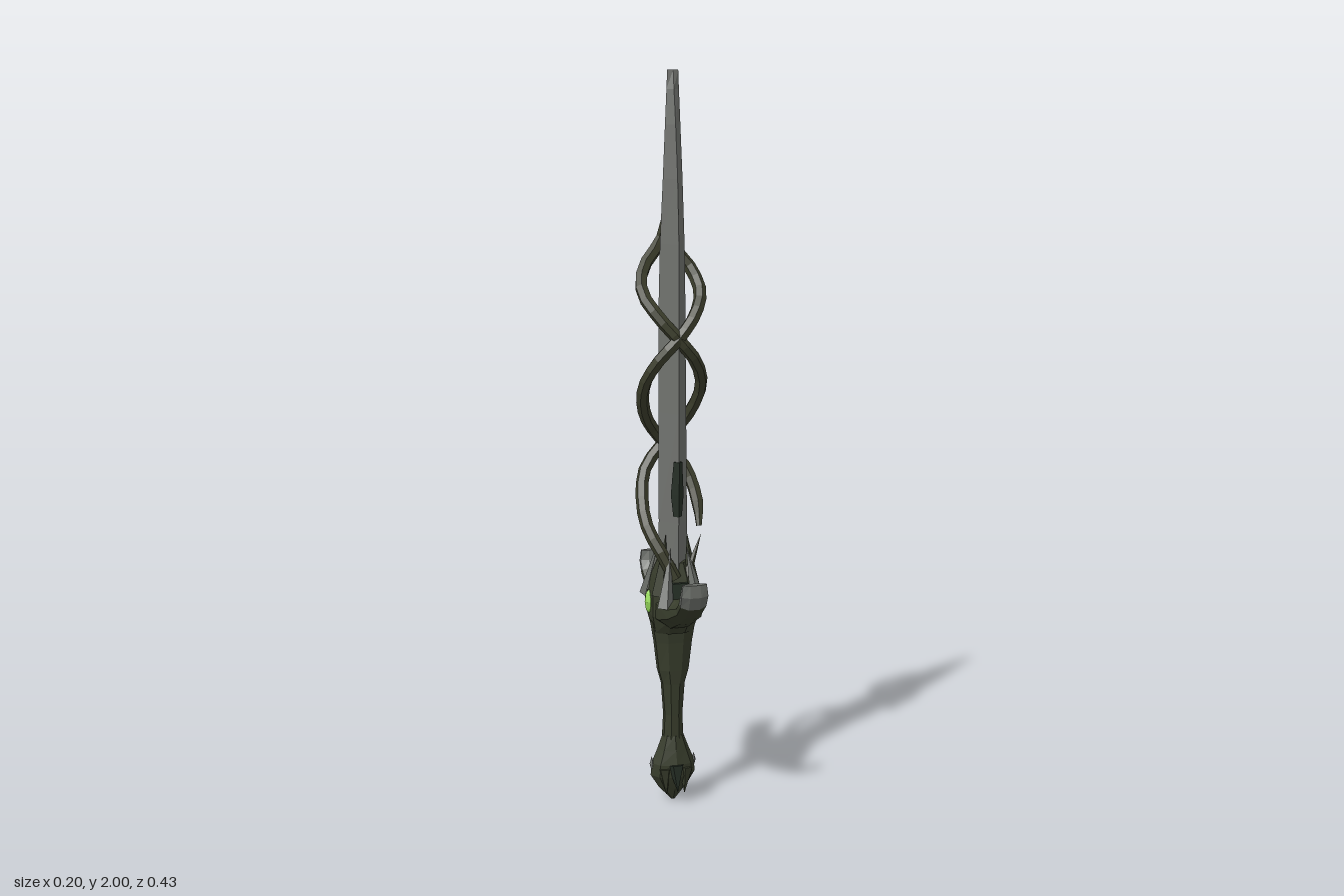
import * as THREE from 'three';

const mat = (name, color, extra = {}) =>
  Object.assign(new THREE.MeshStandardMaterial({ color, flatShading: true, ...extra }), { name });

const steel = mat('blade steel', 0x70726e);
const wood = mat('dark mossy wood', 0x373c2b);
const vineMat = mat('vine bark', 0x3c3e2c);
const shade = mat('deep green', 0x252e25);
const stone = mat('worn grey', 0x686b66);
const glow = mat('green gem', 0x98dc5c);

// Skin a list of equal-length point rings and close both ends
function loft(rings) {
  const n = rings[0].length, pos = [], idx = [];
  rings.forEach(r => r.forEach(p => pos.push(...p)));
  for (let j = 0; j < rings.length - 1; j++) {
    for (let i = 0; i < n; i++) {
      const a = j * n + i, b = j * n + (i + 1) % n;
      idx.push(a, a + n, b, b, a + n, b + n);
    }
  }
  const last = (rings.length - 1) * n;
  for (let i = 1; i < n - 1; i++) {
    idx.push(0, i, i + 1, last, last + i + 1, last + i);
  }
  const g = new THREE.BufferGeometry();
  g.setAttribute('position', new THREE.Float32BufferAttribute(pos, 3));
  g.setIndex(idx);
  g.computeVertexNormals();
  return g;
}

// Horizontal rings from rows of [y, halfX, halfZ, centreZ]
const column = (rows, n, turn = 0) => loft(rows.map(([y, hx, hz, cz = 0]) =>
  Array.from({ length: n }, (_, i) => {
    const a = turn + i / n * Math.PI * 2;
    return [hx * Math.cos(a), y, cz + hz * Math.sin(a)];
  })));

// Guard arm along +z from rows of [z, y, halfHeight, halfWidth], rings square to the path
function armRings(rows) {
  return rows.map(([z, y, h, w], k) => {
    const p = rows[Math.max(k - 1, 0)], q = rows[Math.min(k + 1, rows.length - 1)];
    const len = Math.hypot(q[0] - p[0], q[1] - p[1]);
    const tz = (q[0] - p[0]) / len, ty = (q[1] - p[1]) / len;
    return Array.from({ length: 8 }, (_, i) => {
      const a = (i + 0.5) / 8 * Math.PI * 2;
      const c = Math.cos(a) * h * 1.08, s = Math.sin(a) * w * 1.08;
      return [s, y + tz * c, z - ty * c];
    });
  });
}

export function createModel() {
  const sword = new THREE.Group();
  sword.name = 'vineSword';
  const add = (name, geometry, material, parent = sword) => {
    const m = new THREE.Mesh(geometry, material);
    m.name = name;
    parent.add(m);
    return m;
  };
  // Pointed thorn from base to tip
  const thorn = (name, base, tip, r, material, parent = sword) => {
    const a = new THREE.Vector3(...base), b = new THREE.Vector3(...tip);
    const d = b.clone().sub(a);
    const m = add(name, new THREE.ConeGeometry(r, d.length(), 5), material, parent);
    m.position.copy(a).add(b).multiplyScalar(0.5);
    m.quaternion.setFromUnitVectors(new THREE.Vector3(0, 1, 0), d.normalize());
    return m;
  };

  // Blade: diamond section with a narrow ridge at the tip
  add('blade', column([
    [0.56, 0.042, 0.052], [0.8, 0.04, 0.056, 0.002], [1.1, 0.039, 0.064, -0.004],
    [1.4, 0.037, 0.066, -0.006], [1.55, 0.034, 0.062, -0.004], [1.72, 0.027, 0.046],
    [1.86, 0.021, 0.027], [1.95, 0.017, 0.012], [2, 0.015, 0.004],
  ], 4), steel);
  // Mossy patch on the front cutting edge
  add('edgeMoss', column([
    [0.82, 0.012, 0.013, 0.047], [0.88, 0.018, 0.019, 0.043], [0.97, 0.012, 0.013, 0.05],
  ], 4), shade);

  // Two vines, mirrored, winding round the blade; one ends early
  const path = [
    [0.004, 1.645, -0.062], [0.016, 1.55, -0.074], [0.066, 1.48, -0.056], [0.08, 1.42, -0.012],
    [0.05, 1.36, 0.036], [0, 1.3, 0.055], [-0.052, 1.24, 0.04], [-0.08, 1.17, 0],
    [-0.06, 1.08, -0.056], [0, 1.0, -0.09], [0.058, 0.93, -0.074], [0.078, 0.84, -0.025],
    [0.072, 0.78, 0.01], [0.045, 0.72, 0.045], [0.01, 0.65, 0.06],
  ];
  for (const s of [1, -1]) {
    const pts = path.slice(0, s > 0 ? 13 : 15).map(p => new THREE.Vector3(p[0] * s, p[1], p[2]));
    const curve = new THREE.CatmullRomCurve3(pts, false, 'centripetal');
    const steps = 30, sides = 6;
    const tube = new THREE.TubeGeometry(curve, steps, 0.0175, sides);
    // Taper the upper tip, and the free lower end of the short vine
    const v = new THREE.Vector3(), pos = tube.attributes.position;
    for (let i = 0; i < pos.count; i++) {
      const t = Math.floor(i / (sides + 1)) / steps, c = curve.getPointAt(t);
      const k = Math.min(1, 0.1 + t * 9, s > 0 ? 0.45 + (1 - t) * 8 : 1);
      v.fromBufferAttribute(pos, i).sub(c).multiplyScalar(k).add(c);
      pos.setXYZ(i, v.x, v.y, v.z);
    }
    tube.computeVertexNormals();
    add(s > 0 ? 'shortVine' : 'longVine', tube, vineMat);
  }
  thorn('vineSprout', [0.025, 0.65, 0.045], [0.072, 0.765, 0.03], 0.014, vineMat);

  // Guard: two upswept arms with worn grey horns
  const armRows = [
    [-0.01, 0.56, 0.07, 0.062], [0.06, 0.558, 0.045, 0.058], [0.11, 0.567, 0.03, 0.047],
    [0.155, 0.585, 0.02, 0.035], [0.188, 0.612, 0.018, 0.036], [0.202, 0.64, 0.015, 0.037],
    [0.203, 0.67, 0.01, 0.033],
  ];
  const rings = armRings(armRows);
  for (const s of [1, -1]) {
    const arm = new THREE.Group();
    arm.name = s > 0 ? 'frontGuardArm' : 'backGuardArm';
    arm.rotation.y = s > 0 ? 0 : Math.PI;
    sword.add(arm);
    add('armRoot', loft(rings.slice(0, 5)), wood, arm);
    add('armHorn', loft(rings.slice(4)), stone, arm);
    // Grey fins hugging the collar corners
    for (const x of [1, -1]) {
      thorn('collarFin', [x * 0.047, 0.575, 0.083], [x * 0.022, 0.74, 0.055], 0.024, stone, arm);
    }
  }

  // Collar gripping the base of the blade
  add('collar', column([
    [0.49, 0.058, 0.045], [0.54, 0.07, 0.08], [0.6, 0.07, 0.085],
    [0.65, 0.058, 0.066], [0.69, 0.042, 0.05],
  ], 8, Math.PI / 8), wood);
  add('frontCollarPlate', column([[0.56, 0.035, 0.008, 0.082], [0.64, 0.032, 0.008, 0.07]], 4, Math.PI / 4), shade);
  add('backCollarPlate', column([[0.56, 0.035, 0.008, -0.082], [0.64, 0.032, 0.008, -0.07]], 4, Math.PI / 4), shade);
  for (const x of [1, -1]) {
    thorn('collarThorn', [x * 0.045, 0.6, 0.03], [x * 0.03, 0.77, 0.035], 0.027, wood);
    thorn('collarThorn', [x * 0.045, 0.6, -0.03], [x * 0.028, 0.73, -0.04], 0.025, wood);
    // Gem on each side
    const gem = add('gem', new THREE.OctahedronGeometry(1, 1), glow);
    gem.scale.set(0.012, 0.034, 0.017);
    gem.position.set(x * 0.066, 0.575, -0.006);
  }

  // Handle, swelling under the guard
  add('handle', column([
    [0.13, 0.036, 0.03], [0.19, 0.03, 0.027], [0.25, 0.027, 0.026], [0.34, 0.034, 0.028],
    [0.38, 0.046, 0.031], [0.46, 0.056, 0.034], [0.52, 0.066, 0.042],
  ], 8, Math.PI / 8), wood);

  // Pommel with downward claws
  add('pommel', column([
    [0, 0.006, 0.006], [0.04, 0.042, 0.026], [0.075, 0.064, 0.042], [0.11, 0.062, 0.044],
    [0.15, 0.045, 0.036], [0.19, 0.03, 0.027],
  ], 8), wood);
  for (const s of [1, -1]) {
    thorn('pommelClaw', [0, 0.11, s * 0.036], [0, 0.035, s * 0.052], 0.024, shade);
    for (const x of [1, -1]) {
      thorn('pommelClaw', [x * 0.03, 0.1, s * 0.026], [x * 0.026, 0.022, s * 0.028], 0.02, wood);
    }
    const chip = add('pommelInset', new THREE.OctahedronGeometry(1), stone);
    chip.scale.set(0.006, 0.022, 0.012);
    chip.position.set(s * 0.061, 0.108, 0);
  }
  return sword;
}
